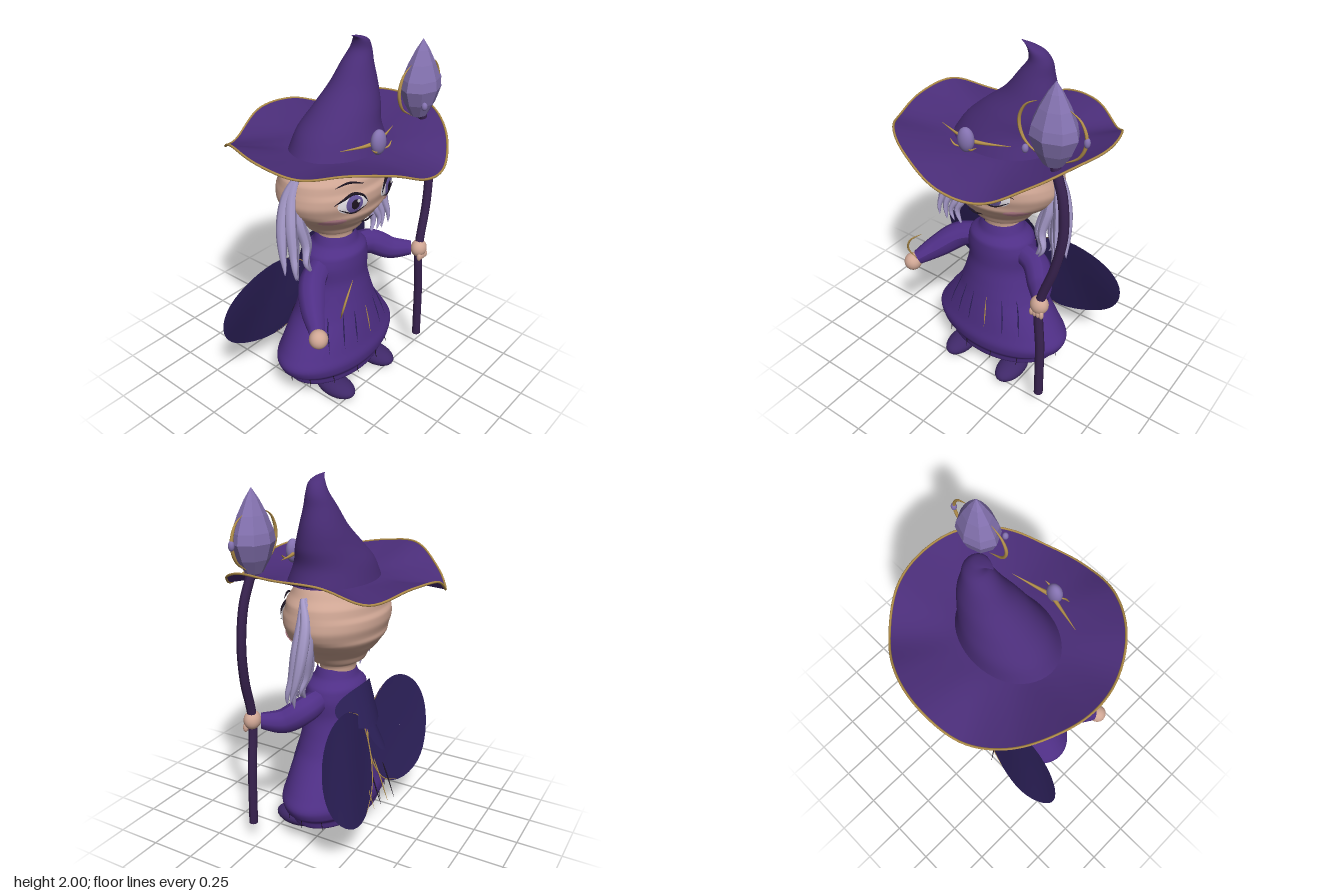
import * as THREE from 'three';

const PURPLE = 0x4f2f86, HAT = 0x4a2d78, CAPE = 0x2c2059, GOLD = 0xb08d4a, SKIN = 0xd0a795;
const HAIR = 0xa79bcb, GEM = 0x8472b0, WOOD = 0x38224f, DARK = 0x1c1420;
const V = (p) => new THREE.Vector3(...p);

export function createModel() {
  const model = new THREE.Group();

  function add(name, geometry, color, opts = {}) {
    const m = new THREE.Mesh(geometry, new THREE.MeshStandardMaterial({ color, ...opts }));
    m.name = name;
    model.add(m);
    return m;
  }
  const thin = { side: THREE.DoubleSide };

  // Smooth interpolation of sections [x, y, z, rx, rz]
  function smooth(sections, n) {
    const pos = new THREE.CatmullRomCurve3(sections.map((s) => V(s.slice(0, 3))));
    const rad = new THREE.CatmullRomCurve3(sections.map((s) => V([s[3], s[4], 0])));
    return Array.from({ length: n + 1 }, (_, i) => {
      const p = pos.getPoint(i / n), r = rad.getPoint(i / n);
      return [p.x, p.y, p.z, r.x, r.y];
    });
  }
  // Skin over horizontal ellipses, bottom to top
  function loft(rings, seg = 48) {
    const pos = [], idx = [];
    rings.forEach(([x, y, z, rx, rz], j) => {
      for (let i = 0; i < seg; i++) {
        const a = (i / seg) * Math.PI * 2;
        pos.push(x + rx * Math.sin(a), y, z + rz * Math.cos(a));
        if (j === 0) continue;
        const k = (i + 1) % seg, lo = (j - 1) * seg, hi = j * seg;
        idx.push(lo + i, lo + k, hi + k, lo + i, hi + k, hi + i);
      }
    });
    const g = new THREE.BufferGeometry();
    g.setAttribute('position', new THREE.Float32BufferAttribute(pos, 3));
    g.setIndex(idx);
    g.computeVertexNormals();
    return g;
  }
  // Tube along points, its radius given by r(t)
  function taper(points, r, seg = 24, sides = 10) {
    const path = new THREE.CatmullRomCurve3(points.map(V));
    const g = new THREE.TubeGeometry(path, seg, 1, sides);
    const p = g.attributes.position, v = new THREE.Vector3();
    for (let i = 0; i < p.count; i++) {
      const t = Math.floor(i / (sides + 1)) / seg, c = path.getPointAt(t);
      v.fromBufferAttribute(p, i).sub(c).multiplyScalar(r(t)).add(c);
      p.setXYZ(i, v.x, v.y, v.z);
    }
    g.computeVertexNormals();
    return g;
  }
  // Unit disc whose vertices are moved by f(x, y) -> [x, y, z]
  function sheet(f, inner = 0.001, seg = 40, rings = 8) {
    const g = new THREE.RingGeometry(inner, 1, seg, rings), p = g.attributes.position;
    for (let i = 0; i < p.count; i++) p.setXYZ(i, ...f(p.getX(i), p.getY(i)));
    g.computeVertexNormals();
    return g;
  }
  function ball(name, [x, y, z], [rx, ry, rz], color) {
    const m = add(name, new THREE.SphereGeometry(1, 24, 16), color);
    m.position.set(x, y, z);
    m.scale.set(rx, ry, rz);
  }
  const sliver = (r) => (t) => r * Math.sin(Math.PI * t) + 0.0008;
  // Front surface depth of a lofted body at x, y
  function depth(rings, x, y) {
    const j = Math.max(1, rings.findIndex((s) => s[1] >= y));
    const a = rings[j - 1], b = rings[j], t = (y - a[1]) / (b[1] - a[1]);
    const rx = a[3] + (b[3] - a[3]) * t, rz = a[4] + (b[4] - a[4]) * t;
    return a[2] + rz * Math.sqrt(Math.max(0, 1 - (x / rx) ** 2));
  }

  // Dress
  const dress = smooth([[0.055, 0.001, 0.001], [0.085, 0.2, 0.13], [0.118, 0.345, 0.215], [0.16, 0.36, 0.225],
    [0.2, 0.41, 0.245], [0.25, 0.427, 0.25], [0.32, 0.39, 0.235], [0.4, 0.335, 0.22], [0.5, 0.265, 0.2],
    [0.6, 0.225, 0.18], [0.72, 0.198, 0.16], [0.8, 0.203, 0.16], [0.87, 0.187, 0.155], [0.915, 0.135, 0.12],
    [0.97, 0.11, 0.1]].map(([y, rx, rz]) => [0, y, 0.015, rx, rz]), 70);
  add('dress', loft(dress, 64), PURPLE);
  for (const x of [-0.2, -0.13, -0.06, 0.03, 0.12, 0.19]) {
    const pts = [0.54, 0.48, 0.42, 0.34].map((y, i) => {
      const px = x * (1 + i * 0.09);
      return [px, y, depth(dress, px, y) - 0.001];
    });
    add('pleat', taper(pts, sliver(0.0035), 16, 6), x === 0.03 ? GOLD : CAPE);
  }
  // Loose threads at the hem and behind the skirt
  for (let i = 0; i < 14; i++) {
    const a = (i + 0.5) / 14 * Math.PI * 2, s = Math.sin(a), c = Math.cos(a);
    add('hemThread', taper([[0.4 * s, 0.21, 0.015 + 0.24 * c], [0.385 * s, 0.17, 0.015 + 0.24 * c],
      [0.385 * s, 0.135, 0.015 + 0.25 * c]], sliver(0.0015), 8, 5), DARK);
  }
  for (let i = 0; i < 4; i++) {
    const x = -0.09 + 0.06 * i;
    add('backThread', taper([[x, 0.47, -0.19], [x * 1.2, 0.32, -0.245], [x * 1.4, 0.15 + 0.02 * i, -0.295]],
      sliver(0.003), 12, 5), i % 2 ? GOLD : DARK);
  }

  // Head and neck, with soft ridges
  const head = smooth([[0.9, 0.1, 0.09], [0.99, 0.11, 0.1], [1.02, 0.165, 0.145], [1.06, 0.195, 0.165],
    [1.1, 0.235, 0.205], [1.13, 0.275, 0.225], [1.17, 0.315, 0.25], [1.2, 0.335, 0.252], [1.25, 0.35, 0.266],
    [1.29, 0.345, 0.266], [1.32, 0.338, 0.252], [1.36, 0.328, 0.246], [1.4, 0.295, 0.222], [1.45, 0.262, 0.2],
    [1.5, 0.15, 0.12]].map(([y, rx, rz]) => [0, y, 0.005, rx, rz]), 70);
  add('head', loft(head), SKIN);

  // Face, laid on the head
  const onFace = (x, y, off) => [x, y, depth(head, x, y) + off];
  const patch = (name, cx, cy, rx, ry, off, color) => add(name,
    sheet((x, y) => onFace(cx + x * rx, cy + y * ry, off), 0.001, 28, 4), color, thin);
  const stroke = (name, pts, r) => add(name, taper(pts.map(([x, y]) => onFace(x, y, 0.014)), sliver(r)), DARK);
  for (const s of [-1, 1]) {
    const cx = s * 0.135 - 0.01, at = (x, y) => [cx + s * x, y];
    patch('eyeWhite', cx, 1.262, 0.082, 0.05, 0.008, 0xe4dfe6);
    patch('iris', cx, 1.265, 0.045, 0.047, 0.013, 0x66549a);
    patch('pupil', cx, 1.265, 0.022, 0.027, 0.017, DARK);
    patch('eyeGlint', cx + 0.015, 1.283, 0.009, 0.009, 0.02, 0xffffff);
    stroke('upperLash', [at(-0.08, 1.255), at(-0.05, 1.3), at(0, 1.318), at(0.055, 1.3), at(0.1, 1.275)], 0.007);
    stroke('lowerLash', [at(-0.07, 1.24), at(0, 1.213), at(0.08, 1.25)], 0.003);
    stroke('eyebrow', [at(-0.07, 1.355), at(0.01, 1.375), at(0.08, 1.36)], 0.005);
    patch('cheekBlush', s * 0.215 - 0.003, 1.162, 0.055, 0.022, 0.008, 0xc58a98);
  }
  stroke('mouth', [[-0.06, 1.12], [-0.01, 1.108], [0.04, 1.12]], 0.004);

  // Hair locks on both sides
  for (const s of [-1, 1]) {
    for (let i = 0; i < 6; i++) {
      const k = i / 5, z = 0.025 * Math.sin(i * 2.1);
      const pts = [[0.29 + 0.02 * k, 1.41, 0.03], [0.315 + 0.035 * k, 1.3, 0.005 + z * 0.6],
        [0.295 + 0.095 * k, 1.15, 0.012 + z], [0.255 + 0.16 * k, 1.0, 0.035 + z],
        [0.285 + 0.14 * k, 0.92, 0.055 + z], [0.25 + 0.18 * k, 0.83 + 0.03 * (i % 3), 0.06 + z]];
      add('hairLock', taper(pts.map(([x, y, w]) => [s * x, y, w]),
        (t) => 0.029 * Math.pow(Math.sin(Math.PI * (0.1 + 0.9 * t)), 0.7) + 0.001, 30, 8), HAIR);
    }
  }

  // Hat crown with a bent tip
  add('hatCrown', loft(smooth([[0.025, 1.465, 0.01, 0.295, 0.222], [0.045, 1.56, 0, 0.25, 0.19],
    [0.1, 1.65, 0, 0.205, 0.155], [0.16, 1.75, -0.005, 0.14, 0.115], [0.19, 1.85, -0.005, 0.09, 0.08],
    [0.21, 1.92, 0, 0.058, 0.055], [0.195, 1.965, 0.01, 0.042, 0.04], [0.16, 1.988, 0.015, 0.022, 0.022],
    [0.115, 2.0, 0.015, 0.002, 0.002]], 50)), HAT, thin);
  // Wavy brim: edge heights at equal angles, starting at the front
  const heights = [1.435, 1.415, 1.505, 1.57, 1.575, 1.56, 1.475, 1.52, 1.51, 1.415, 1.47, 1.565, 1.55, 1.52, 1.55, 1.52];
  const wave = new THREE.CatmullRomCurve3(heights.map((y, i) =>
    V([Math.sin((i * Math.PI) / 8), y, Math.cos((i * Math.PI) / 8)])), true);
  const brim = (r, a) => {
    const edge = wave.getPoint((a / (2 * Math.PI) + 1) % 1).y;
    const t = Math.max(0, (r - 0.4) / 0.6);
    return [0.025 + 0.572 * r * Math.sin(a), 1.465 + (edge - 1.465) * Math.pow(t, 1.3), 0.56 * r * Math.cos(a)];
  };
  add('hatBrim', sheet((x, y) => brim(Math.hypot(x, y), Math.atan2(x, -y)), 0.25, 96, 12), HAT, thin);
  const rim = Array.from({ length: 64 }, (_, i) => V(brim(1, (i / 64) * Math.PI * 2)));
  add('brimTrim', new THREE.TubeGeometry(new THREE.CatmullRomCurve3(rim, true), 128, 0.006, 6, true), GOLD);
  // Hat ornament
  ball('brooch', [-0.01, 1.56, 0.29], [0.045, 0.065, 0.035], GEM);
  for (const s of [-1, 1]) {
    add('broochHorn', taper([[0.02, 1.55, 0.27], [0.08, 1.55, 0.255], [0.21, 1.56, 0.22]]
      .map(([x, y, z]) => [s * x - 0.005, y, z]), (t) => 0.01 * (1 - t) + 0.001), GOLD);
    add('broochClaw', taper([[0.02, 1.52, 0.3], [0.05, 1.53, 0.315], [0.08, 1.55, 0.31]]
      .map(([x, y, z]) => [s * x - 0.01, y, z]), sliver(0.004)), GOLD);
  }

  // Arms and hands
  const sleeve = (t) => 0.062 - 0.02 * t + 0.02 * Math.sin(Math.PI * t);
  add('rightSleeve', taper([[-0.15, 0.81, 0.03], [-0.26, 0.77, 0.07], [-0.35, 0.7, 0.15], [-0.43, 0.635, 0.25]], sleeve), PURPLE, thin);
  add('leftSleeve', taper([[0.15, 0.81, 0.03], [0.26, 0.785, 0.06], [0.34, 0.735, 0.14], [0.41, 0.74, 0.24]], sleeve), PURPLE, thin);
  ball('rightHand', [-0.447, 0.615, 0.275], [0.05, 0.052, 0.05], SKIN);
  ball('leftHand', [0.43, 0.745, 0.28], [0.05, 0.052, 0.045], SKIN);
  for (let i = 0; i < 4; i++) ball('finger', [0.4 + i * 0.02, 0.705, 0.305], [0.012, 0.025, 0.014], SKIN);
  add('magicWisp', taper([[-0.28, 0.93, 0.36], [-0.35, 0.87, 0.38], [-0.375, 0.8, 0.375], [-0.35, 0.72, 0.34]], sliver(0.005)), GOLD);

  // Staff with crystal and crescents
  add('staff', taper([[0.45, 0.12, 0.29], [0.445, 0.45, 0.285], [0.43, 0.75, 0.28], [0.5, 1.0, 0.265],
    [0.53, 1.2, 0.25], [0.51, 1.4, 0.24], [0.465, 1.52, 0.23], [0.44, 1.59, 0.22]], () => 0.025, 48), WOOD, thin);
  const crystal = add('crystal', new THREE.LatheGeometry([[0, 1.53], [0.05, 1.55], [0.095, 1.62], [0.125, 1.7],
    [0.115, 1.75], [0.08, 1.83], [0.04, 1.9], [0, 1.955]].map((p) => new THREE.Vector2(...p)), 8), GEM, { flatShading: true });
  crystal.position.set(0.437, 0, 0.22);
  crystal.scale.z = 0.8;
  for (const s of [-1, 1]) {
    add('crescent', taper([[0.08, 1.84], [0.145, 1.8], [0.178, 1.72], [0.15, 1.63], [0.06, 1.565]]
      .map(([x, y]) => [0.425 + s * x, y, 0.22]), sliver(0.008)), GOLD);
  }
  ball('orbitBead', [0.605, 1.71, 0.22], [0.015, 0.025, 0.015], GEM);
  ball('orbitBead', [0.345, 1.64, 0.31], [0.016, 0.022, 0.016], GEM);

  // Cape: two broad lobes sweeping back, gathered under a small mantle
  const capeZ = (x, y) => -0.175 - (0.8 - y) * 0.22 - 0.13 * (Math.abs(x) - 0.33) + 0.01 * Math.sin(9 * Math.abs(x) + 4 * y);
  for (const s of [-1, 1]) {
    const lobe = (x, y) => {
      const px = 0.31 + 0.305 * x * (1 + 0.06 * y * y), py = 0.52 + 0.295 * y - 0.035 * x * y + 0.02 * x;
      return [s * px, py, capeZ(px, py) + 0.01 * (1 - x * x - y * y) - (s > 0 ? 0.008 : 0)];
    };
    add('capeLobe', sheet(lobe), CAPE, thin);
    const edge = [1.9, 2.4, 2.9, 3.4, 3.9, 4.4].map((a) => lobe(Math.cos(a), Math.sin(a)));
    add('capeTrim', taper(edge, sliver(0.004)), GOLD);
  }
  add('capeMantle', sheet((x, y) => [0.2 * x, 0.77 + 0.12 * y, -0.19 + 0.035 * y + 0.1 * x * x]), CAPE, thin);
  add('capeFold', sheet((x, y) => [0.05 * x + 0.03 * y, 0.62 + 0.12 * y, -0.235 + 0.04 * y + 0.02 * x * x]), CAPE, thin);

  // Shoes
  for (const s of [-1, 1]) ball('shoe', [s * 0.185, 0.06, 0.17], [0.077, 0.056, 0.132], 0x3f2868);

  return model;
}
